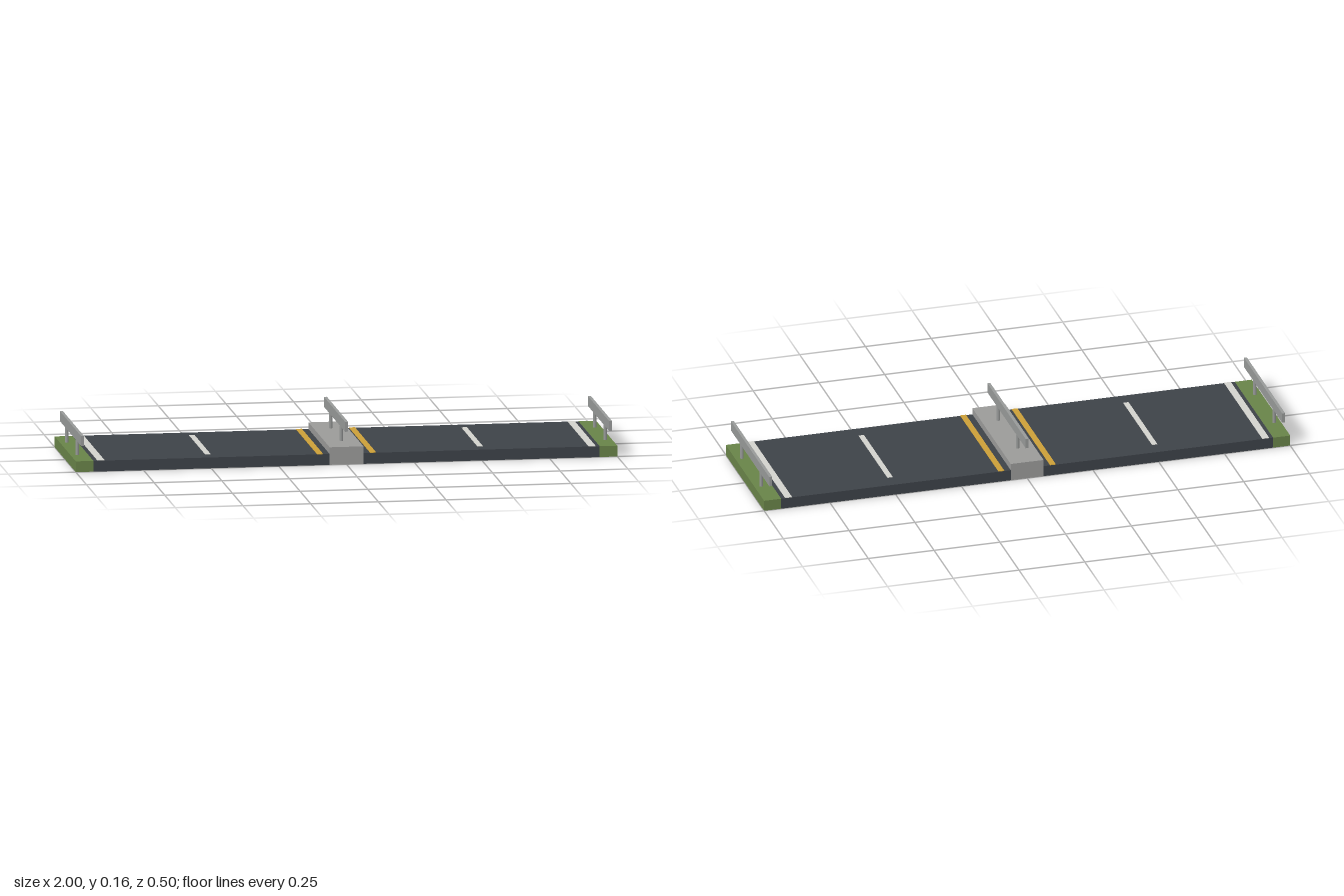
import * as THREE from 'three';

export function createModel() {
  const model = new THREE.Group();
  model.name = 'roadSegment';

  const mat = (name, color) => {
    const m = new THREE.MeshStandardMaterial({ color, side: THREE.DoubleSide });
    m.name = name;
    return m;
  };
  const asphalt = mat('asphalt', 0x3d4248);
  const grass = mat('grass', 0x688348);
  const concrete = mat('concrete', 0x9a9a98);
  const steel = mat('steel', 0x979998);
  const white = mat('whitePaint', 0xd2d2cc);
  const yellow = mat('yellowPaint', 0xcb9f38);

  const DEPTH = 0.5, TOP = 0.04, KERB = 0.065;

  const add = (name, geometry, material, x, y, z = 0, parent = model) => {
    const mesh = new THREE.Mesh(geometry, material);
    mesh.name = name;
    mesh.position.set(x, y, z);
    parent.add(mesh);
    return mesh;
  };

  // Open-bottomed box: keeps only the listed sides (0 +x, 1 -x, 2 top, 4 front, 5 back)
  const shell = (name, x0, x1, height, material, sides) => {
    const g = new THREE.BoxGeometry(x1 - x0, height, DEPTH);
    const index = Array.from(g.index.array);
    g.setIndex(sides.flatMap(s => index.slice(s * 6, s * 6 + 6)));
    g.clearGroups();
    add(name, g, material, (x0 + x1) / 2, height / 2);
  };

  // Painted line lying on the road surface
  const line = (name, x, width, length, material) =>
    add(name, new THREE.BoxGeometry(width, 0.002, length), material, x, TOP + 0.001);

  // Guard rail: a beam on two round posts
  const guardRail = (name, x, base) => {
    const rail = new THREE.Group();
    rail.name = name;
    rail.position.set(x, base, 0);
    model.add(rail);
    add('beam', new THREE.BoxGeometry(0.011, 0.037, DEPTH), steel, 0, 0.0745, 0, rail);
    for (const z of [-0.125, 0.125])
      add('post', new THREE.CylinderGeometry(0.0065, 0.0065, 0.057, 8), steel, 0, 0.0285, z, rail);
  };

  // Central median
  shell('median', -0.0625, 0.0625, KERB, concrete, [0, 1, 2, 4, 5]);
  guardRail('medianRail', 0, KERB);

  // Carriageways, verges, markings and outer rails, mirrored
  for (const s of [-1, 1]) {
    const side = s > 0 ? 'left' : 'right';
    const span = (a, b) => (s > 0 ? [a, b] : [-b, -a]);
    shell(side + 'Carriageway', ...span(0.0625, 0.935), TOP, asphalt, [2, 4, 5]);
    shell(side + 'Verge', ...span(0.935, 1), TOP, grass, [s > 0 ? 0 : 1, 2, 4, 5]);
    line(side + 'EdgeLine', s * 0.907, 0.026, DEPTH, white);
    line(side + 'LaneDash', s * 0.503, 0.02, 0.375, white);
    line(side + 'MedianLine', s * 0.098, 0.022, DEPTH, yellow);
    guardRail(side + 'GuardRail', s * 0.975, TOP);
  }

  return model;
}
